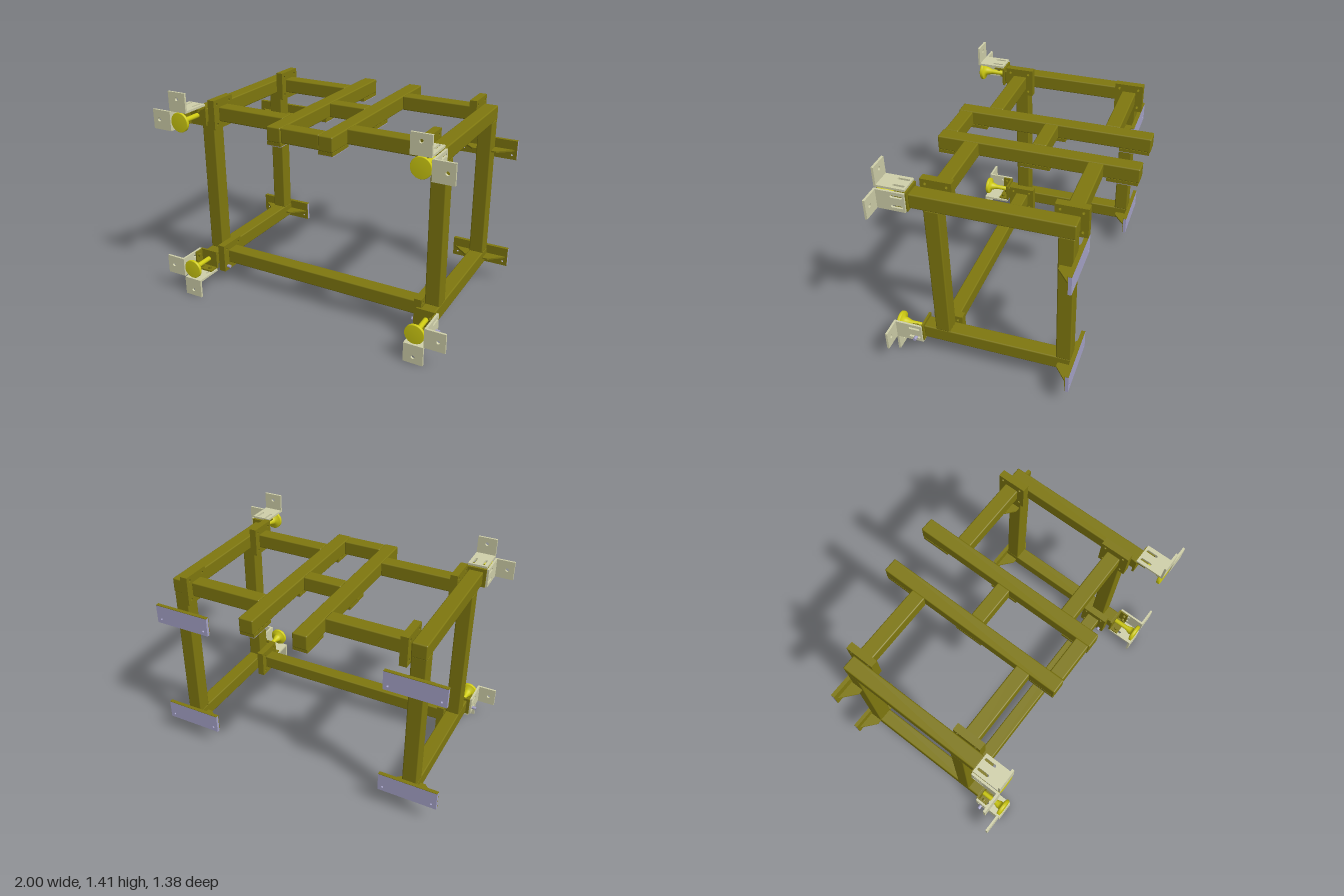
import * as THREE from 'three';
import { RoundedBoxGeometry } from 'three/addons/geometries/RoundedBoxGeometry.js';

const material = (name, color) => {
  const m = new THREE.MeshStandardMaterial({ color });
  m.name = name;
  return m;
};

export function createModel() {
  const root = new THREE.Group();
  const olive = material('olive', 0x7f780f);
  const yellow = material('yellow', 0xd0cc12);
  const beige = material('beige', 0xd0d0aa);
  const lavender = material('lavender', 0xa6a3c8);

  const add = (name, geo, mat, x, y, z) => {
    const m = new THREE.Mesh(geo, mat);
    m.name = name;
    m.position.set(x, y, z);
    root.add(m);
    return m;
  };

  // Square tube spanning the given ranges
  const beam = (name, x0, x1, y0, y1, z0, z1) =>
    add(name, new RoundedBoxGeometry(x1 - x0, y1 - y0, z1 - z0, 2, 0.008), olive,
      (x0 + x1) / 2, (y0 + y1) / 2, (z0 + z1) / 2);

  // Plate with round or slotted holes [u, v, radius, half slot length].
  // Normal z: u = x, v = y.  Normal x: u = z, v = y.  Normal y: u = z, v = x.
  const plate = (name, mat, normal, w, h, t, holes, x, y, z) => {
    const s = new THREE.Shape();
    s.moveTo(-w / 2, -h / 2).lineTo(w / 2, -h / 2).lineTo(w / 2, h / 2).lineTo(-w / 2, h / 2).closePath();
    for (const [u, v, r, l = 0] of holes) {
      const p = new THREE.Path();
      p.moveTo(u + l, v - r);
      p.absarc(u + l, v, r, -Math.PI / 2, Math.PI / 2);
      p.absarc(u - l, v, r, Math.PI / 2, Math.PI * 1.5);
      s.holes.push(p);
    }
    const g = new THREE.ExtrudeGeometry(s, { depth: t, bevelEnabled: false, curveSegments: 8 });
    g.translate(0, 0, -t / 2);
    if (normal === 'y') g.rotateX(-Math.PI / 2);
    if (normal !== 'z') g.rotateY(-Math.PI / 2);
    return add(name, g, mat, x, y, z);
  };

  const bolt = (name, mat, axis, r, len, x, y, z) => {
    const g = new THREE.CylinderGeometry(r, r, len, 12);
    if (axis === 'x') g.rotateZ(Math.PI / 2);
    if (axis === 'z') g.rotateX(Math.PI / 2);
    return add(name, g, mat, x, y, z);
  };

  const LOW = [0.155, 0.25], HIGH = [1.175, 1.27];
  const FRONT = [0.315, 0.41], BACK = [-0.47, -0.375];

  // Lower front cross beam
  beam('lowerCrossBeam', -0.71, 0.71, ...LOW, ...FRONT);

  // Short bars joining the two centre beams
  for (const z of [[0.49, 0.58], [-0.09, 0]]) beam('centreCrossBar', -0.13, 0.13, ...HIGH, ...z);

  // Levelling foot profile: stem, neck and disc
  const foot = new THREE.LatheGeometry([
    [0, 0], [0.016, 0], [0.016, 0.1], [0.028, 0.135], [0.028, 0.15],
    [0.06, 0.157], [0.063, 0.162], [0.063, 0.176], [0.06, 0.18], [0, 0.18],
  ].map(([a, b]) => new THREE.Vector2(a, b)), 32);
  foot.rotateX(Math.PI / 2);

  // Gusset outline, passing through the post
  const gussetShape = new THREE.Shape(
    [[-0.18, 0], [0.18, 0], [0.08, 0.085], [-0.08, 0.085]].map(([a, b]) => new THREE.Vector2(a, b)));
  const gusset = new THREE.ExtrudeGeometry(gussetShape, { depth: 0.01, bevelEnabled: false });
  gusset.rotateX(Math.PI / 2);

  const flangeHoles = [];
  for (const u of [-0.065, 0.065]) for (const v of [-0.065, 0.065]) flangeHoles.push([u, v, 0.009]);
  const slots = [[-0.045, -0.033, 0.008, 0.03], [-0.045, 0.033, 0.008, 0.03]];

  for (const s of [-1, 1]) {
    const span = (a, b) => (s > 0 ? [a, b] : [-b, -a]);
    const side = span(0.752, 0.848);

    // Side frame: rails and posts
    beam('upperSideRail', ...side, ...HIGH, -0.475, 0.495);
    beam('lowerSideRail', ...side, ...LOW, -0.475, 0.495);
    beam('frontPost', ...side, 0.245, 1.18, ...FRONT);
    beam('backPost', ...side, 0.245, 1.18, ...BACK);

    // Upper cross beams and long centre beam
    beam('frontCrossBeam', ...span(0.22, 0.71), ...HIGH, ...FRONT);
    beam('backCrossBeam', ...span(0.22, 0.71), ...HIGH, ...BACK);
    beam('centreBeam', ...span(0.128, 0.223), ...HIGH, -0.688, 0.588);

    // Pads under the centre beam
    for (const z of [0.49, -0.045, -0.585]) {
      plate('centrePad', olive, 'y', 0.19, 0.095, 0.022, [], s * 0.175, 1.165, z);
      plate('centrePadFace', lavender, 'y', 0.19, 0.095, 0.004, [], s * 0.175, 1.152, z);
    }

    // Joint flanges
    for (const [y, z] of [[1.225, 0.365], [1.225, -0.423], [0.2, 0.365]])
      plate('jointFlange', olive, 'x', 0.192, 0.192, 0.048, flangeHoles, s * 0.728, y, z);
    bolt('flangeBolt', lavender, 'x', 0.011, 0.03, s * 0.697, 0.135, 0.43);

    // Rear mounting pads with gussets
    for (const y of [0.983, 0.203]) {
      const holes = [[-0.163, -0.033, 0.007], [0.163, -0.033, 0.007]];
      plate('rearPad', lavender, 'z', 0.39, 0.126, 0.021, holes, s * 0.8, y, -0.4865);
      plate('rearPadFront', olive, 'z', 0.39, 0.126, 0.004, holes, s * 0.8, y, -0.474);
      plate('rearPadTop', olive, 'z', 0.39, 0.003, 0.025, [], s * 0.8, y + 0.0645, -0.4845);
      add('gusset', gusset, olive, s * 0.8, y + 0.005, -0.473);
    }

    // Front corners: t points away from the frame vertically
    for (const [yc, t] of [[1.227, 1], [0.203, -1]]) {
      const x = s * 0.803;
      // End plate and tabs on the rail
      plate('railEndPlate', olive, 'z', 0.13, 0.125, 0.014, [], x, yc, 0.498);
      plate('railEndTab', olive, 'y', 0.06, 0.12, 0.01, [], x, yc + t * 0.0575, 0.535);
      plate('railEndSideTab', olive, 'x', 0.06, 0.12, 0.01, [], s * 0.862, yc, 0.535);

      // Vertical angle bracket
      plate('bracketLeg', beige, 'y', 0.188, 0.126, 0.014, slots, x, yc + t * 0.075, 0.593);
      plate('bracketFlange', beige, 'z', 0.126, 0.126, 0.014, [[0, t * 0.02, 0.012]], x, yc + t * 0.131, 0.68);

      // Sideways angle bracket
      plate('sideBracketLeg', beige, 'x', 0.188, 0.126, 0.014, slots, s * 0.874, yc, 0.593);
      plate('sideBracketFlange', beige, 'z', 0.13, 0.126, 0.014, [[s * 0.02, 0, 0.012]], s * 0.935, yc, 0.68);

      // Bracket bolts
      if (t < 0) {
        bolt('lowerBolt', lavender, 'y', 0.011, 0.04, x, yc - 0.083, 0.54);
        bolt('sideBolt', lavender, 'x', 0.011, 0.045, s * 0.885, yc - 0.033, 0.54);
      }
      for (const v of [-0.033, 0.033]) {
        bolt('bracketNut', olive, 'x', 0.012, 0.02, s * 0.85, yc + v, 0.54);
        bolt('bracketNut', olive, 'y', 0.012, 0.02, x + v, yc + t * 0.046, 0.54);
      }

      // Levelling foot
      add('levellingFoot', foot, yellow, x, yc, 0.503);
    }
  }
  return root;
}
